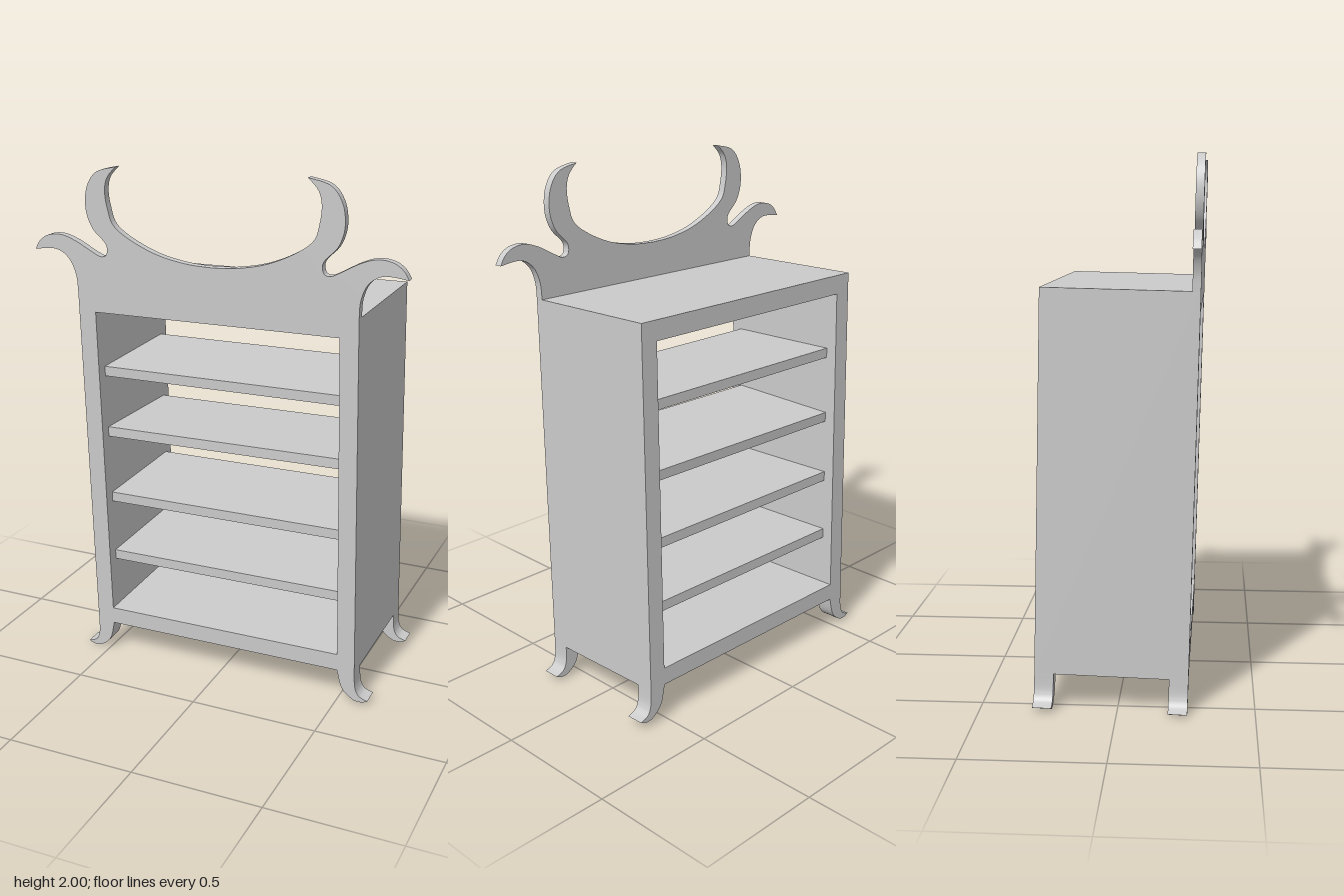
import * as THREE from 'three';
import { toCreasedNormals } from 'three/addons/utils/BufferGeometryUtils.js';

const material = new THREE.MeshStandardMaterial({ color: 0xcccccc });
const HALF_WIDTH = 0.558, HALF_OPENING = 0.488, DEPTH = 0.56;
const BASE = 0.125, TOP = 1.525;

const vec = ([x, y]) => new THREE.Vector2(x, y);
const mirror = (pts) => pts.map((p) => new THREE.Vector2(-p.x, p.y)).reverse();

// Smooth runs joined at sharp corners
function smoothRuns(runs) {
  return runs.flatMap((run) => new THREE.SplineCurve(run.map(vec)).getPoints(run.length * 5));
}

// Drop repeated neighbouring points, including first against last
function tidy(pts) {
  return pts.filter((p, i) => p.distanceTo(pts[(i + pts.length - 1) % pts.length]) > 1e-5);
}

function plate(name, shape, z, depth) {
  const raw = new THREE.ExtrudeGeometry(shape, { depth, bevelEnabled: false });
  const mesh = new THREE.Mesh(toCreasedNormals(raw, 0.5), material);
  mesh.name = name;
  mesh.position.z = z;
  return mesh;
}

function rectangle(Type, halfWidth, y0, y1) {
  return new Type([[-halfWidth, y0], [halfWidth, y0], [halfWidth, y1], [-halfWidth, y1]].map(vec));
}

// Open-ended case: sides, floor and roof in one
function makeCase() {
  const shape = rectangle(THREE.Shape, HALF_WIDTH, BASE, TOP);
  shape.holes.push(rectangle(THREE.Path, HALF_OPENING, 0.193, 1.45));
  return plate('case', shape, -DEPTH / 2, DEPTH);
}

// Thin front crest with two curling horns on each side
function makeCrest() {
  const half = smoothRuns([
    [[HALF_WIDTH, TOP], [0.563, 1.59], [0.59, 1.65], [0.645, 1.682], [0.733, 1.675]],
    [[0.733, 1.675], [0.712, 1.708], [0.675, 1.732], [0.62, 1.738], [0.56, 1.72], [0.49, 1.683],
      [0.452, 1.666], [0.427, 1.676], [0.428, 1.715], [0.48, 1.77], [0.504, 1.84], [0.495, 1.92],
      [0.452, 1.978], [0.37, 2.0]],
    [[0.37, 2.0], [0.407, 1.96], [0.42, 1.91], [0.412, 1.845], [0.39, 1.785], [0.32, 1.735],
      [0.215, 1.69], [0.1, 1.666], [0, 1.66]],
  ]);
  const shape = new THREE.Shape(tidy([...half, ...mirror(half)]));
  return plate('crest', shape, DEPTH / 2 - 0.03, 0.03);
}

// Foot flaring outwards; side is +1 or -1
function makeFoot(name, side, z) {
  const right = smoothRuns([
    [[HALF_WIDTH, BASE], [0.561, 0.065], [0.577, 0.03], [0.612, 0.015]],
    [[0.612, 0.015], [0.585, 0.005], [0.55, 0.011], [0.508, 0.05], [HALF_OPENING, BASE]],
  ]);
  const outline = side > 0 ? right : mirror(right);
  return plate(name, new THREE.Shape(tidy(outline)), z, 0.07);
}

export function createModel() {
  const model = new THREE.Group();
  model.name = 'shelfUnit';
  const body = new THREE.Group();
  body.name = 'body';
  body.position.y = -1;
  body.add(makeCase(), makeCrest());

  for (const side of [1, -1]) {
    const label = side > 0 ? 'Left' : 'Right';
    body.add(makeFoot(`front${label}Foot`, side, DEPTH / 2 - 0.07));
    body.add(makeFoot(`back${label}Foot`, side, -DEPTH / 2));
  }

  // Shelves: height, tilt and slope (one sits a little crooked)
  const shelves = [[0.418, 0, 0], [0.674, 0, 0], [0.945, -0.045, 0.005], [1.203, 0, 0]];
  shelves.forEach(([y, tilt, slope], i) => {
    const shelf = new THREE.Mesh(new THREE.BoxGeometry(HALF_OPENING * 2 + 0.01, 0.039, 0.47), material);
    shelf.name = `shelf${i + 1}`;
    shelf.position.y = y;
    shelf.rotation.set(tilt, 0, slope);
    body.add(shelf);
  });

  // The whole piece leans very slightly
  model.add(body);
  const root = new THREE.Group();
  model.position.set(0.005, 1.005, 0.002);
  model.rotation.set(0.024, -0.005, 0.0088);
  root.add(model);
  return root;
}
